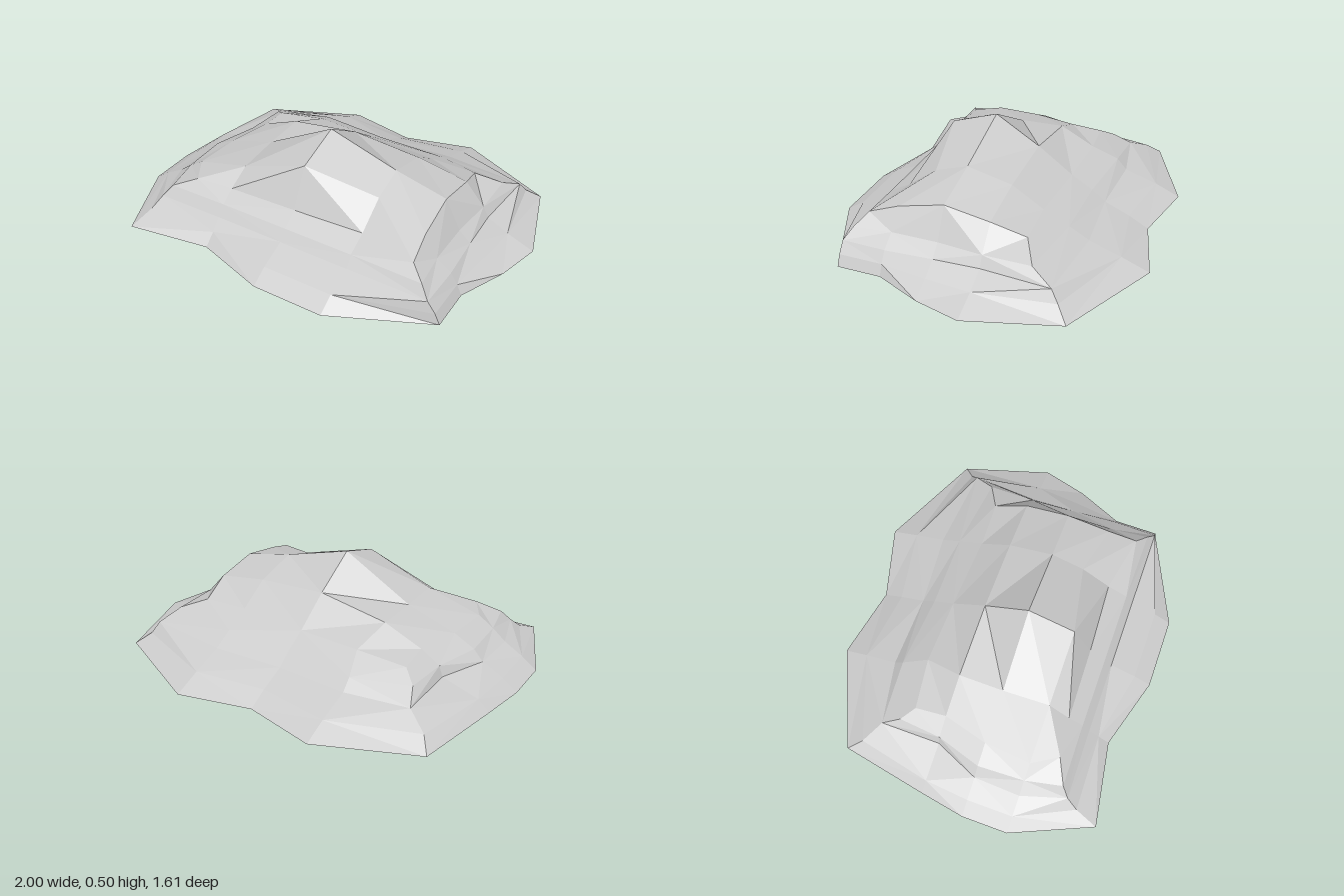
import * as THREE from 'three';

// Outlines [x, z], 16 points each, starting at the front corner on the -x side
// and running along the front, the +x side, the back and the -x side.
const ground = [[-.82, .76], [-.39, .69], [-.02, .8], [.35, .8], [.835, .575], [.835, .35], [.94, .11], [1, -.12],
  [.865, -.57], [.35, -.81], [-.02, -.71], [-.39, -.785], [-.875, -.57], [-.96, -.12], [-1, .11], [-1, .35]];
const skirt = [[-.78, .64], [-.39, .63], [-.02, .71], [.35, .71], [.81, .575], [.81, .35], [.84, .11], [.86, -.12],
  [.8, -.51], [.35, -.67], [-.02, -.61], [-.39, -.66], [-.82, -.5], [-.9, -.12], [-.92, .11], [-.92, .35]];
const step = [[-.75, .58], [-.39, .575], [-.02, .575], [.35, .575], [.77, .575], [.775, .35], [.76, .11], [.75, -.12],
  [.775, -.47], [.35, -.51], [-.02, -.48], [-.39, -.49], [-.71, -.43], [-.71, -.12], [-.81, .11], [-.82, .35]];
const shoulder = [[-.71, .54], [-.39, .535], [-.02, .535], [.35, .535], [.72, .54], [.7, .35], [.7, .11], [.72, -.12],
  [.72, -.36], [.35, -.41], [-.02, -.41], [-.39, -.44], [-.67, -.34], [-.69, -.12], [-.76, .11], [-.75, .35]];

// Crown: 5 rows from front to back of [x, y, z]
const crown = [
  [[-.59, .215, .48], [-.39, .215, .46], [-.02, .22, .45], [.35, .22, .43], [.65, .22, .49]],
  [[-.67, .215, .35], [-.38, .29, .35], [-.02, .42, .35], [.35, .33, .28], [.63, .27, .34]],
  [[-.65, .22, .11], [-.39, .3, .11], [-.02, .5, .11], [.35, .385, .11], [.62, .32, .11]],
  [[-.59, .225, -.12], [-.39, .305, -.12], [-.02, .36, -.12], [.35, .33, -.12], [.62, .28, -.12]],
  [[-.6, .21, -.28], [-.35, .235, -.31], [-.02, .23, -.3], [.35, .23, -.28], [.59, .22, -.29]],
];

export function createModel() {
  const positions = [];
  const tri = (a, b, c) => positions.push(...a, ...b, ...c);
  // Quad split along a-c, or along b-d when flipped
  const quad = (a, b, c, d, flip) => {
    if (flip) { tri(a, b, d); tri(b, c, d); } else { tri(a, b, c); tri(a, c, d); }
  };

  // Crown rim, in the same order as the outlines
  const rim = [];
  for (let i = 0; i < 4; i++) rim.push(crown[0][i]);
  for (let i = 0; i < 4; i++) rim.push(crown[i][4]);
  for (let i = 4; i > 0; i--) rim.push(crown[4][i]);
  for (let i = 4; i > 0; i--) rim.push(crown[i][0]);

  // Sloping sides between successive outlines
  const rings = [ground, skirt, step, shoulder].map((ring, k) => ring.map(([x, z]) => [x, k * 0.055, z]));
  rings.push(rim);
  for (let k = 0; k < rings.length - 1; k++) {
    for (let i = 0; i < 16; i++) {
      const j = (i + 1) % 16;
      quad(rings[k][i], rings[k][j], rings[k + 1][j], rings[k + 1][i], (i + k) % 2 === 1);
    }
  }

  // Crown facets
  for (let r = 0; r < 4; r++) {
    for (let c = 0; c < 4; c++) {
      quad(crown[r][c], crown[r][c + 1], crown[r + 1][c + 1], crown[r + 1][c], c >= 2);
    }
  }

  // Flat underside
  for (let i = 0; i < 16; i++) tri([0, 0, 0], rings[0][(i + 1) % 16], rings[0][i]);

  const geometry = new THREE.BufferGeometry();
  geometry.setAttribute('position', new THREE.Float32BufferAttribute(positions, 3));
  geometry.computeVertexNormals();

  const rock = new THREE.Mesh(geometry, new THREE.MeshStandardMaterial({ color: 0xcccccc, flatShading: true }));
  rock.name = 'rock';
  const group = new THREE.Group();
  group.name = 'lowRock';
  group.add(rock);
  return group;
}
